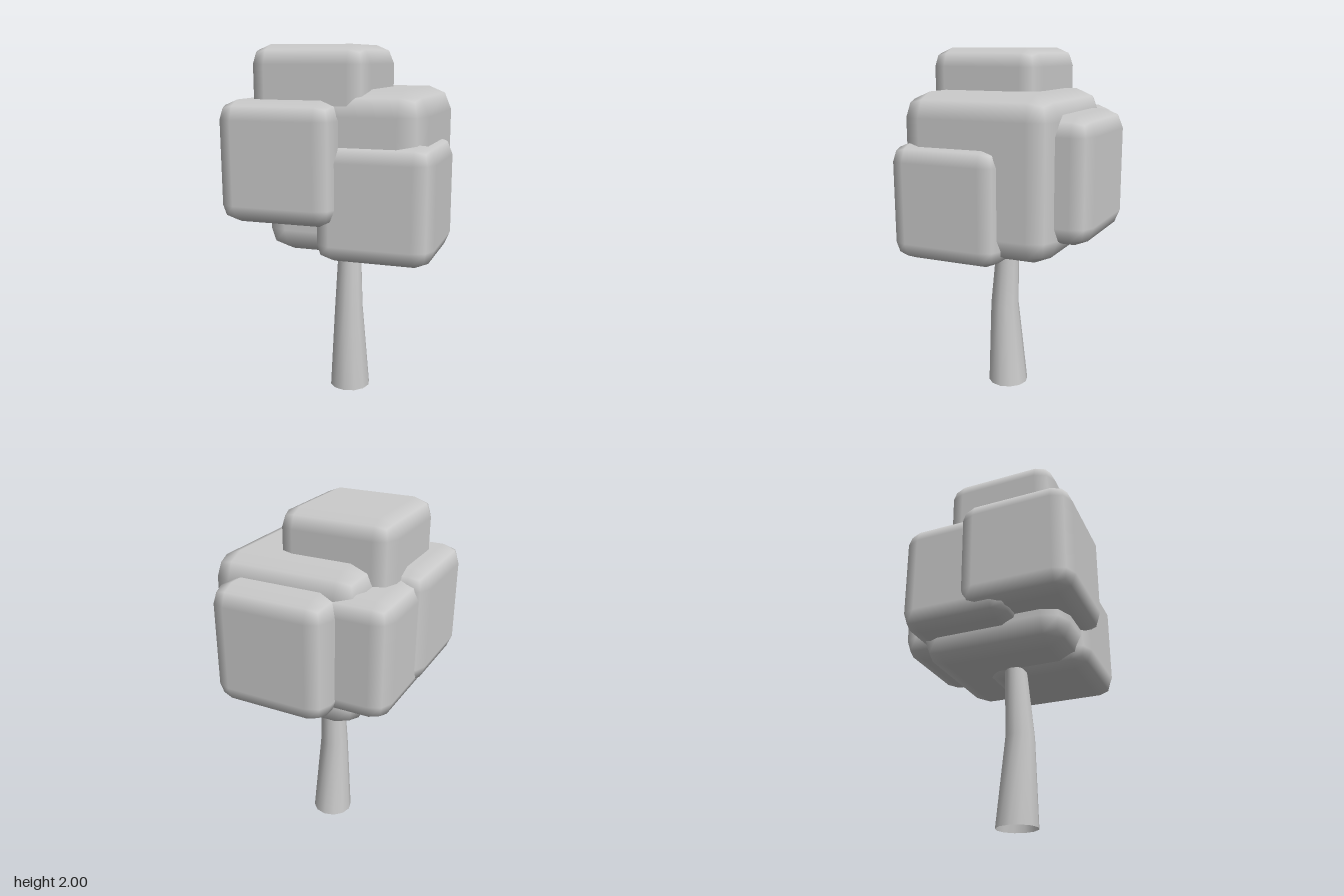
import * as THREE from 'three';
import { RoundedBoxGeometry } from 'three/addons/geometries/RoundedBoxGeometry.js';
import { mergeVertices } from 'three/addons/utils/BufferGeometryUtils.js';

const grey = new THREE.MeshStandardMaterial({ color: 0xcccccc });
const greyOpen = new THREE.MeshStandardMaterial({ color: 0xcccccc, side: THREE.DoubleSide });

// Bevelled foliage cubes: name, centre, edge length, bevel
const FOLIAGE = [
  ['foliageCore', [0.075, 1.338, 0.025], 0.872, 0.132],
  ['foliageTop', [-0.115, 1.675, 0.115], 0.65, 0.1],
  ['foliageFrontRight', [-0.25, 1.395, 0.25], 0.65, 0.1],
  ['foliageFrontLeft', [0.25, 1.192, 0.18], 0.64, 0.1],
  ['foliageBack', [0.075, 1.337, -0.243], 0.67, 0.103],
  ['foliageBackRight', [-0.215, 1.345, -0.115], 0.65, 0.1],
];

// Trunk rings, bottom to top: height, radius, centre z
const RINGS = [
  { y: 0, r: 0.118, z: 0.052 },
  { y: 0.5, r: 0.083, z: 0.073 },
  { y: 1.0, r: 0.06, z: 0.045 },
];

// Bent, tapering tube, open at the bottom
function trunkGeometry() {
  let geo = new THREE.CylinderGeometry(1, 1, 2, 12, RINGS.length - 1, true);
  geo.deleteAttribute('uv');
  geo.deleteAttribute('normal');
  geo = mergeVertices(geo);
  const p = geo.attributes.position;
  for (let i = 0; i < p.count; i++) {
    const ring = RINGS[Math.round(p.getY(i) + 1)];
    p.setXYZ(i, p.getX(i) * ring.r + 0.002, ring.y, p.getZ(i) * ring.r + ring.z);
  }
  geo.computeVertexNormals();
  return geo;
}

export function createModel() {
  const tree = new THREE.Group();
  tree.name = 'tree';

  const trunk = new THREE.Mesh(trunkGeometry(), greyOpen);
  trunk.name = 'trunk';
  tree.add(trunk);

  for (const [name, centre, size, bevel] of FOLIAGE) {
    const cube = new THREE.Mesh(new RoundedBoxGeometry(size, size, size, 1, bevel), grey);
    cube.name = name;
    cube.position.set(...centre);
    tree.add(cube);
  }
  return tree;
}
